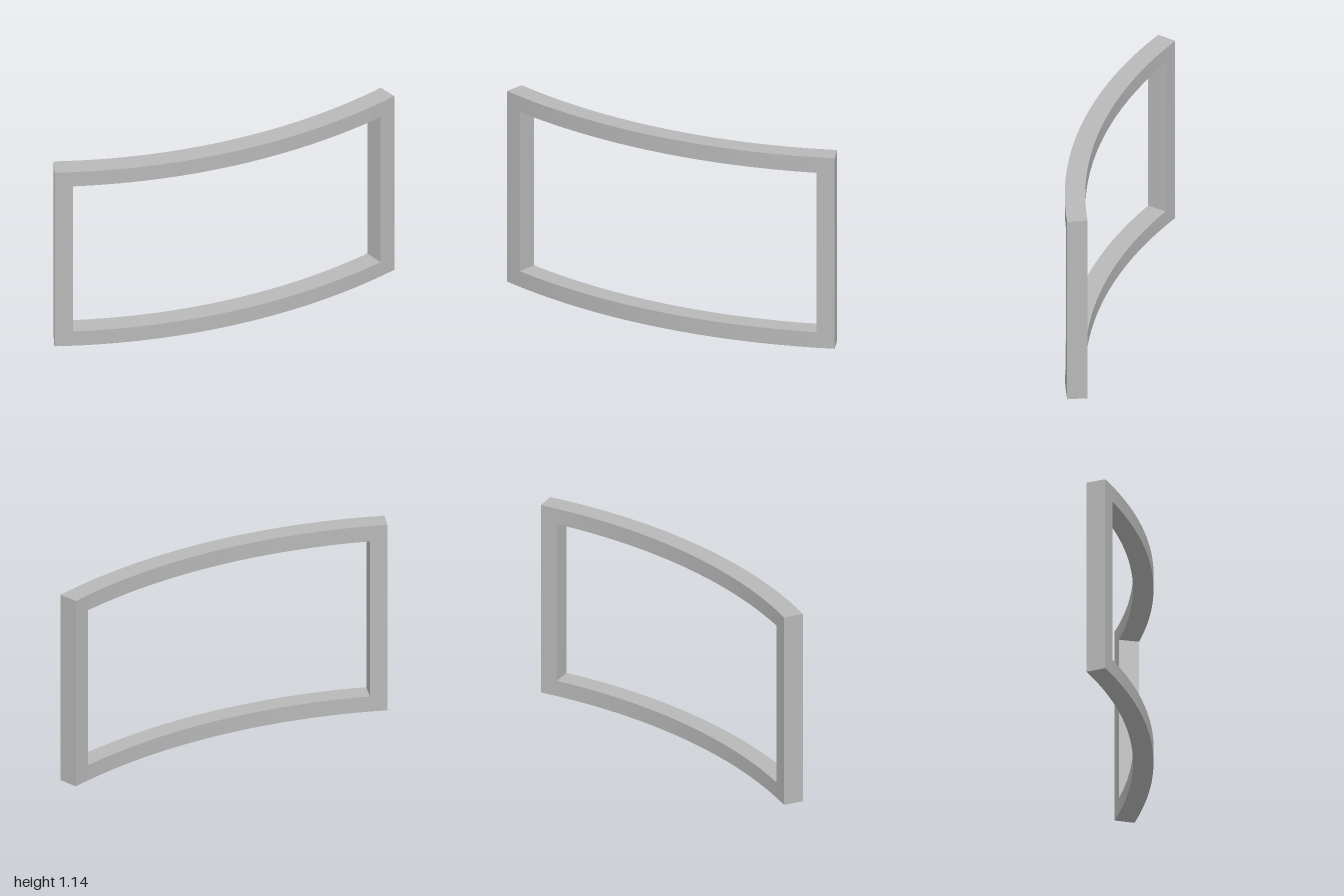
import * as THREE from 'three';

const R_FRONT = 2.945, R_BACK = 2.833;   // radii of the curved front and back faces
const CENTRE_Z = 0.14 - R_FRONT;         // centre of curvature
const HEIGHT = 1.136, RAIL = 0.093;
const A_OUT = Math.asin(1 / R_FRONT);    // half angle to the outer ends
const A_IN = Math.asin(0.905 / R_FRONT); // half angle to the opening

// A box bent round the vertical axis: x becomes angle, z becomes radius
function bentBox(a0, a1, y0, y1, segments) {
  const geo = new THREE.BoxGeometry(a1 - a0, y1 - y0, R_FRONT - R_BACK, segments, 1, 1);
  geo.translate((a0 + a1) / 2, (y0 + y1) / 2, (R_FRONT + R_BACK) / 2);
  const pos = geo.attributes.position, nor = geo.attributes.normal;
  const up = new THREE.Vector3(0, 1, 0), n = new THREE.Vector3();
  for (let i = 0; i < pos.count; i++) {
    const a = pos.getX(i), r = pos.getZ(i);
    pos.setXYZ(i, r * Math.sin(a), pos.getY(i), r * Math.cos(a) + CENTRE_Z);
    n.fromBufferAttribute(nor, i).applyAxisAngle(up, a);
    nor.setXYZ(i, n.x, n.y, n.z);
  }
  return geo;
}

export function createModel() {
  const group = new THREE.Group();
  group.name = 'curvedFrame';
  const grey = new THREE.MeshStandardMaterial({ color: 0xb8b8b8 });
  grey.name = 'frameGrey';

  const add = (name, ...args) => {
    const mesh = new THREE.Mesh(bentBox(...args), grey);
    mesh.name = name;
    group.add(mesh);
  };

  // Full-width curved rails
  add('bottomRail', -A_OUT, A_OUT, 0, RAIL, 40);
  add('topRail', -A_OUT, A_OUT, HEIGHT - RAIL, HEIGHT, 40);
  // Upright posts between the rails
  add('leftPost', A_IN, A_OUT, RAIL, HEIGHT - RAIL, 2);
  add('rightPost', -A_OUT, -A_IN, RAIL, HEIGHT - RAIL, 2);
  return group;
}
